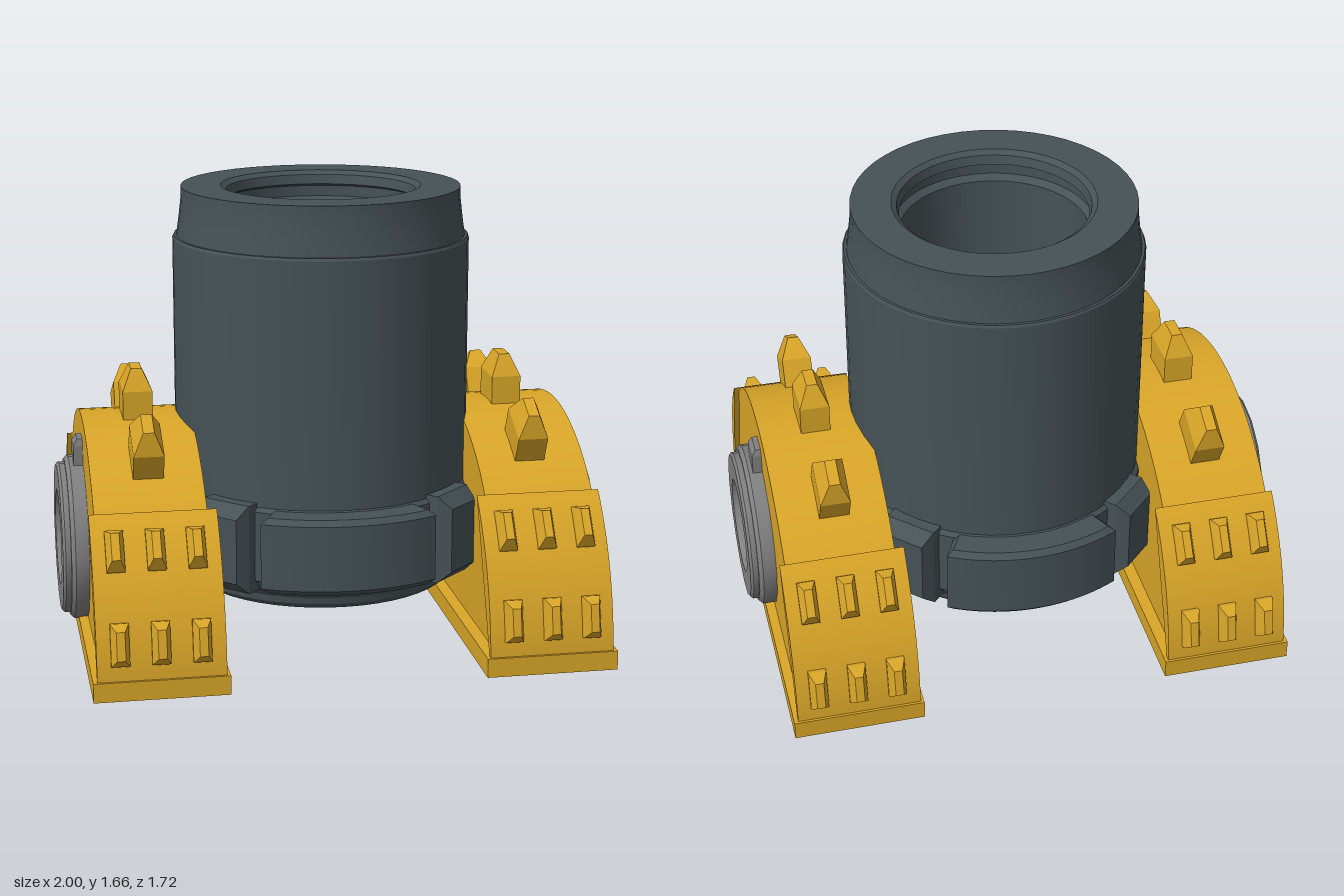
import * as THREE from 'three';
import { toCreasedNormals } from 'three/addons/utils/BufferGeometryUtils.js';

const iron = new THREE.MeshStandardMaterial({ color: 0x465256 });
const gold = new THREE.MeshStandardMaterial({ color: 0xdaa628 });
const steel = new THREE.MeshStandardMaterial({ color: 0x808080 });

function add(parent, name, geometry, material) {
  const mesh = new THREE.Mesh(geometry, material);
  mesh.name = name;
  parent.add(mesh);
  return mesh;
}

function lathe(points, segments, crease) {
  const pts = points.map(([r, y]) => new THREE.Vector2(r, y));
  return toCreasedNormals(new THREE.LatheGeometry(pts, segments), crease);
}

// Block standing on y = 0: straight up to `straight`, then tapering to a smaller top
function stud(w, d, straight, h, topW, topD) {
  const g = new THREE.BoxGeometry(w, 2, d, 1, 2, 1);
  const p = g.attributes.position;
  for (let i = 0; i < p.count; i++) {
    const y = p.getY(i);
    if (y > 0.5) p.setXYZ(i, Math.sign(p.getX(i)) * topW / 2, h, Math.sign(p.getZ(i)) * topD / 2);
    else p.setY(i, y < -0.5 ? 0 : straight);
  }
  const flat = g.toNonIndexed();
  flat.computeVertexNormals();
  return flat;
}

// Side outline (z, y) extruded across x from x0 to x1
function slab(shape, x0, x1) {
  const g = new THREE.ExtrudeGeometry(shape, { depth: x1 - x0, bevelEnabled: false, curveSegments: 24 });
  g.rotateY(Math.PI / 2).translate(x0, 0, 0);
  return toCreasedNormals(g, 0.3);
}

function createBarrel() {
  const barrel = new THREE.Group();
  barrel.name = 'barrel';

  // Outer wall, muzzle lip and bore in one profile
  add(barrel, 'tube', lathe([
    [0, 0.18], [0.49, 0.18], [0.51, 0.2], [0.515, 0.225], [0.535, 0.25], [0.55, 0.28],
    [0.565, 0.29], [0.565, 0.55], [0.55, 0.565], [0.55, 1.47], [0.545, 1.48], [0.535, 1.48],
    [0.525, 1.55], [0.517, 1.62], [0.517, 1.66], [0.37, 1.66], [0.35, 1.645], [0.342, 1.61],
    [0.365, 1.6], [0.365, 1.56], [0.342, 1.54], [0.342, 0.6], [0, 0.6],
  ], 48, 0.45), iron);

  // Curved pads on the front and back of the breech
  const half = 0.47;
  const arc = new THREE.Shape();
  arc.absarc(0, 0, 0.645, Math.PI / 2 - half, Math.PI / 2 + half, false);
  arc.absarc(0, 0, 0.53, Math.PI / 2 + half, Math.PI / 2 - half, true);
  arc.closePath();
  const padGeometry = toCreasedNormals(new THREE.ExtrudeGeometry(arc, {
    depth: 0.24, curveSegments: 12, bevelThickness: 0.02, bevelSize: 0.02, bevelSegments: 1,
  }).rotateX(-Math.PI / 2).translate(0, 0.3, 0), 0.4);
  for (const [name, turn] of [['backPad', 0], ['frontPad', Math.PI]]) {
    add(barrel, name, padGeometry, iron).rotation.y = turn;
  }

  // Tapered lugs on the four diagonals
  const lugGeometry = stud(0.2, 0.33, 0.09, 0.14, 0.16, 0.24)
    .rotateX(Math.PI / 2).translate(0, 0.415, 0.5);
  for (let i = 0; i < 4; i++) {
    add(barrel, 'breechLug', lugGeometry, iron).rotation.y = Math.PI / 4 + i * Math.PI / 2;
  }
  return barrel;
}

function createCarriage() {
  const carriage = new THREE.Group();
  const midX = 0.7, centreY = 0.02;

  add(carriage, 'basePlate', new THREE.BoxGeometry(0.48, 0.07, 1.64).translate(0.7, 0.035, 0), gold);

  // Narrow half-round body
  const arch = new THREE.Shape();
  arch.absarc(0, centreY, 0.8, 0, Math.PI, false);
  arch.closePath();
  add(carriage, 'archBody', slab(arch, 0.505, 0.905), gold);

  // Wider wedge-shaped cheeks covering the lower ends of the arch
  const spread = 0.8;
  for (const start of [0, Math.PI - spread]) {
    const wedge = new THREE.Shape();
    wedge.moveTo(0, centreY);
    wedge.absarc(0, centreY, 0.812, start, start + spread, false);
    wedge.closePath();
    add(carriage, 'lowerCheek', slab(wedge, 0.472, 0.925), gold);
  }

  // Studs point outward; tilt is measured from straight up
  const placeStud = (name, geometry, x, tilt, radius) => {
    const mesh = add(carriage, name, geometry, gold);
    mesh.rotation.x = tilt;
    mesh.position.set(x, centreY + radius * Math.cos(tilt), radius * Math.sin(tilt));
  };
  const bigStud = stud(0.11, 0.175, 0.15, 0.23, 0.04, 0.1);
  for (const tilt of [-0.475, 0, 0.475]) placeStud('largeStud', bigStud, midX, tilt, 0.75);

  const smallStud = stud(0.065, 0.15, 0.05, 0.095, 0.03, 0.1);
  for (const side of [-1, 1]) {
    for (const tilt of [0.95, 1.35]) {
      for (const x of [-0.143, 0, 0.143]) placeStud('smallStud', smallStud, midX + x, side * tilt, 0.775);
    }
  }

  // Trunnion cap with a recessed face and a key block on top
  const cap = new THREE.Group();
  cap.name = 'trunnionCap';
  cap.position.set(0, 0.345, 0.02);
  carriage.add(cap);
  add(cap, 'capDisc', lathe([
    [0.29, 0.88], [0.31, 0.9], [0.31, 0.955], [0.295, 0.97], [0.285, 0.97], [0.285, 0.99],
    [0.275, 1], [0.18, 1], [0.165, 0.965], [0, 0.965],
  ], 16, 0.5).rotateZ(-Math.PI / 2), steel);
  add(cap, 'keyBlock', stud(0.1, 0.1, 0.12, 0.145, 0.07, 0.085).translate(0.89, 0.25, -0.025), steel);
  return carriage;
}

export function createModel() {
  const model = new THREE.Group();
  model.name = 'mortar';
  model.add(createBarrel());

  // The right carriage is the left one turned half way round
  const left = createCarriage();
  left.name = 'leftCarriage';
  const right = left.clone();
  right.name = 'rightCarriage';
  right.rotation.y = Math.PI;
  model.add(left, right);
  return model;
}
